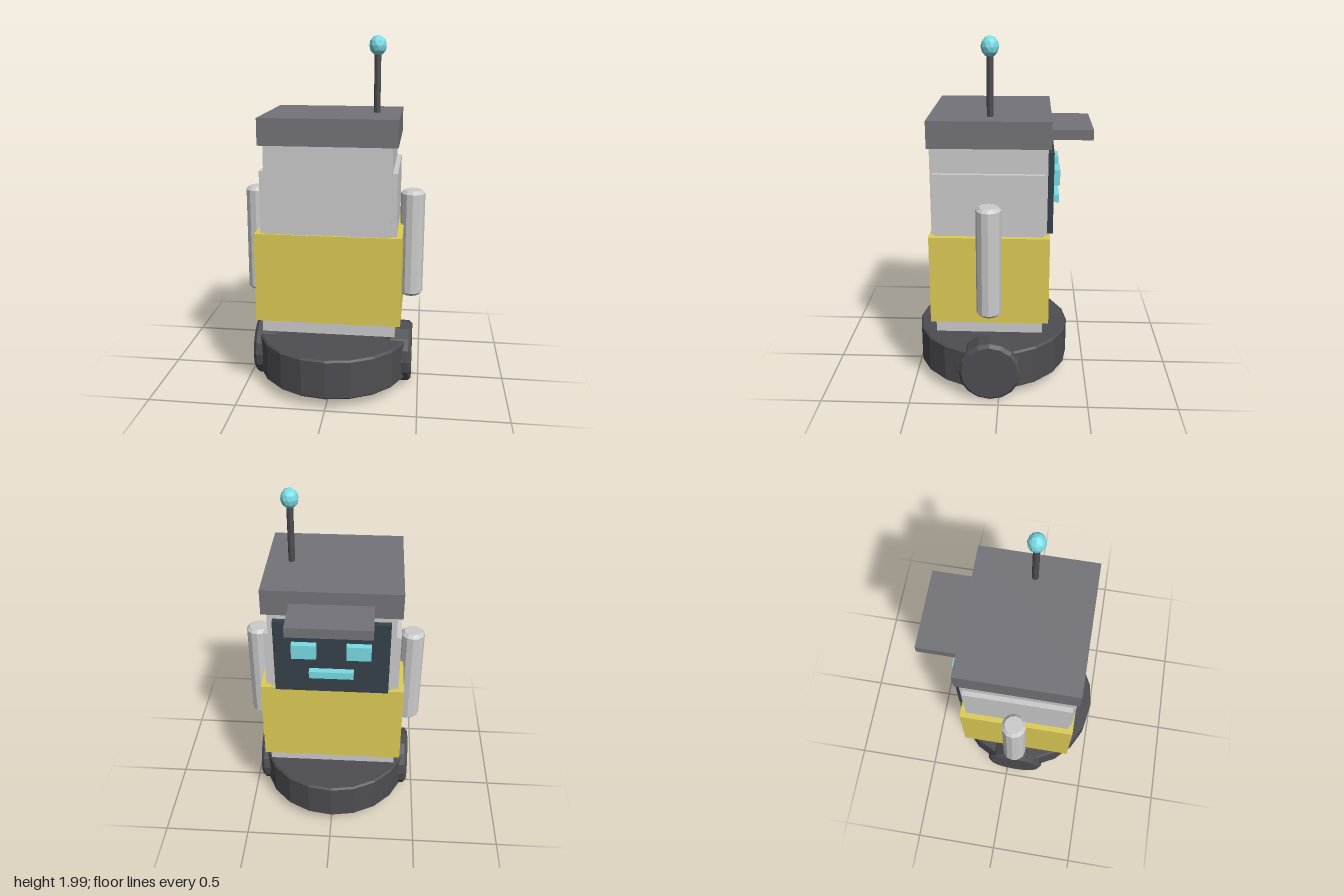
import * as THREE from 'three';

const mat = (color) => new THREE.MeshStandardMaterial({ color, flatShading: true });

export function createModel() {
  const model = new THREE.Group();
  model.name = 'robot';
  const light = mat(0xcccccc), yellow = mat(0xdecc55), roofGrey = mat(0x737379);
  const dark = mat(0x4e4d51), screen = mat(0x36424a), cyan = mat(0x7adce6);

  const add = (name, geometry, material, x = 0, y = 0, z = 0) => {
    const mesh = new THREE.Mesh(geometry, material);
    mesh.name = name;
    mesh.position.set(x, y, z);
    model.add(mesh);
    return mesh;
  };
  // Box given by its lower and upper limits on each axis
  const box = (name, material, [x0, x1], [y0, y1], [z0, z1]) =>
    add(name, new THREE.BoxGeometry(x1 - x0, y1 - y0, z1 - z0), material,
      (x0 + x1) / 2, (y0 + y1) / 2, (z0 + z1) / 2);
  // Upright cylinder with chamfered rims, centred on the origin
  const chamferCylinder = (r, h, c, sides) => new THREE.LatheGeometry([
    [0, -h / 2], [r - c, -h / 2], [r, -h / 2 + c],
    [r, h / 2 - c], [r - c, h / 2], [0, h / 2],
  ].map(([x, y]) => new THREE.Vector2(x, y)), sides);

  // Body, yellow band, head and roof
  box('body', light, [-0.367, 0.367], [0.395, 1.305], [-0.24, 0.348]);
  box('bodyBand', yellow, [-0.397, 0.397], [0.468, 0.965], [-0.272, 0.375]);
  box('head', light, [-0.34, 0.34], [0.9, 1.45], [-0.256, 0.364]);
  box('roof', roofGrey, [-0.368, 0.368], [1.443, 1.587], [-0.272, 0.375]);
  box('visor', roofGrey, [-0.22, 0.22], [1.46, 1.515], [-0.494, -0.2]);

  // Face on the -z side
  box('faceScreen', screen, [-0.31, 0.31], [0.966, 1.41], [-0.288, -0.25]);
  box('mouth', cyan, [-0.12, 0.12], [1.08, 1.122], [-0.324, -0.28]);

  // Paired eyes, arms and wheels
  for (const [side, s] of [['left', 1], ['right', -1]]) {
    add(side + 'Eye', new THREE.BoxGeometry(0.132, 0.085, 0.044), cyan, s * 0.146, 1.248, -0.302);
    add(side + 'Arm', chamferCylinder(0.068, 0.615, 0.018, 12), light, s * 0.444, 0.852, 0.05);
    const wheel = add(side + 'Wheel', chamferCylinder(0.176, 0.145, 0.018, 16), dark,
      s * 0.387, 0.183, 0.05);
    wheel.rotation.z = Math.PI / 2;
  }

  // Round drive base
  add('base', chamferCylinder(0.442, 0.23, 0.01, 20), dark, 0, 0.183, 0.05);

  // Antenna with faceted tip
  add('antennaRod', new THREE.CylinderGeometry(0.018, 0.018, 0.33, 8), dark, 0.235, 1.745, 0.05);
  const tip = new THREE.IcosahedronGeometry(0.055, 1);
  tip.rotateZ(Math.atan(2 / (1 + Math.sqrt(5))));
  tip.scale(0.87, 1, 0.87);
  add('antennaTip', tip, cyan, 0.235, 1.945, 0.05);

  return model;
}
